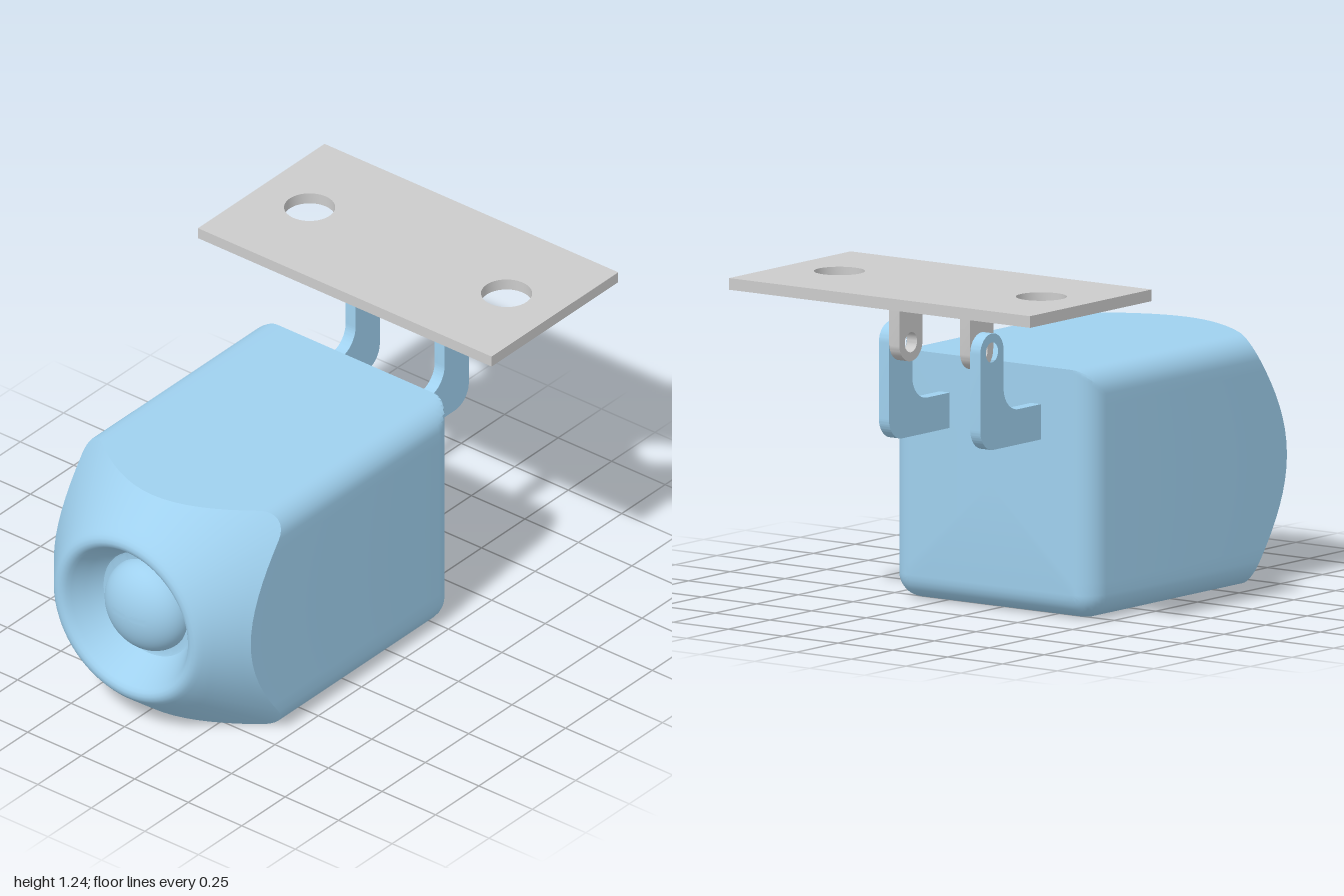
import * as THREE from 'three';
import { toCreasedNormals } from 'three/addons/utils/BufferGeometryUtils.js';

const blue = new THREE.MeshStandardMaterial({ color: 0x9fd0ee });
const grey = new THREE.MeshStandardMaterial({ color: 0xcccccc });

const W = 0.46, R = 0.09, BACK = -0.335, CY = 0.46;

function addMesh(parent, name, geometry, material) {
  const mesh = new THREE.Mesh(toCreasedNormals(geometry, 0.5), material);
  mesh.name = name;
  parent.add(mesh);
  return mesh;
}

// Rounded square outline, counter-clockwise, with outward normals
function outline() {
  const pts = [], sides = 16, arc = 8, c = W - R;
  for (let k = 0; k < 4; k++) {
    const start = -Math.PI / 2 + (k * Math.PI) / 2;
    const cx = k < 2 ? c : -c, cy = k === 1 || k === 2 ? c : -c;
    for (let i = 0; i <= arc; i++) {
      const a = start + (i / arc) * (Math.PI / 2);
      const nx = Math.cos(a), ny = Math.sin(a);
      pts.push({ x: cx + R * nx, y: cy + R * ny, nx, ny });
    }
    const p = pts[pts.length - 1];
    for (let i = 1; i < sides; i++) {
      const t = (2 * c * i) / sides;
      pts.push({ x: p.x - p.ny * t, y: p.y + p.nx * t, nx: p.nx, ny: p.ny });
    }
  }
  return pts;
}

// Skin over a list of closed rings
function loft(rings) {
  const n = rings[0].length, index = [];
  for (let i = 0; i < rings.length - 1; i++) {
    for (let j = 0; j < n; j++) {
      const a = i * n + j, b = i * n + ((j + 1) % n);
      index.push(a, b, b + n, a, b + n, a + n);
    }
  }
  const g = new THREE.BufferGeometry();
  g.setAttribute('position', new THREE.Float32BufferAttribute(rings.flat(2), 3));
  g.setIndex(index);
  g.computeVertexNormals();
  return g;
}

function bodyGeometry() {
  const pts = outline();
  const rings = [pts.map(() => [0, CY, BACK])];
  // back fillet on sides and bottom; the top back edge stays sharp
  for (let i = 0; i <= 7; i++) {
    const a = (i / 7) * (Math.PI / 2);
    const d = R * (1 - Math.sin(a)), z = BACK + R * (1 - Math.cos(a));
    rings.push(pts.map((p) => p.y > W - R + 1e-6
      ? [THREE.MathUtils.clamp(p.x, d - W, W - d), p.y + CY, z]
      : [p.x - p.nx * d, p.y - p.ny * d + CY, z]));
  }
  // conical nose cutting the square body
  const cone = (r) => 0.84 + 1.24 * (W - r);
  for (let i = 0; i <= 5; i++) {
    rings.push(pts.map((p) => {
      const len = Math.hypot(p.x, p.y), r = THREE.MathUtils.lerp(len, 0.35, i / 5);
      return [(p.x / len) * r, (p.y / len) * r + CY, cone(r)];
    }));
  }
  // rounded rim, sloping recess and its floor
  const profile = [
    [0.338, 0.988], [0.326, 0.997], [0.31, 1], [0.296, 0.996], [0.284, 0.985], [0.275, 0.97],
    [0.245, 0.92], [0.215, 0.87], [0.209, 0.863], [0.2, 0.86], [0.17, 0.86], [0, 0.86],
  ];
  for (const [r, z] of profile) {
    rings.push(pts.map((p) => {
      const len = Math.hypot(p.x, p.y);
      return [(p.x / len) * r, (p.y / len) * r + CY, z];
    }));
  }
  return loft(rings);
}

// Extrude a (z, y) shape across x, centred on x = 0
function sidePlate(shape, thickness) {
  const g = new THREE.ExtrudeGeometry(shape, { depth: thickness, bevelEnabled: false, curveSegments: 16 });
  return g.rotateY(-Math.PI / 2).translate(thickness / 2, 0, 0);
}

function hole(x, y, r) {
  return new THREE.Path().absarc(x, y, r, 0, Math.PI * 2, true);
}

function armShape() {
  const s = new THREE.Shape();
  s.moveTo(-0.31, 0.65);
  s.lineTo(-0.62, 0.65);
  s.absarc(-0.62, 0.73, 0.08, -Math.PI / 2, -Math.PI, true);
  s.lineTo(-0.7, 1.01);
  s.absarc(-0.63, 1.01, 0.07, Math.PI, 0, true);
  s.lineTo(-0.56, 0.87);
  s.absarc(-0.47, 0.87, 0.09, Math.PI, Math.PI * 1.5, false);
  s.lineTo(-0.31, 0.78);
  s.closePath();
  s.holes.push(hole(-0.63, 1.01, 0.037));
  return s;
}

function tabShape() {
  const s = new THREE.Shape();
  s.moveTo(-0.56, 1.2);
  s.lineTo(-0.7, 1.2);
  s.lineTo(-0.7, 1.01);
  s.absarc(-0.63, 1.01, 0.07, Math.PI, Math.PI * 2, false);
  s.closePath();
  s.holes.push(hole(-0.63, 1.01, 0.037));
  return s;
}

function mountPlateGeometry() {
  const s = new THREE.Shape();
  s.moveTo(-0.686, 0.27);
  s.lineTo(0.686, 0.27);
  s.lineTo(0.686, 1);
  s.lineTo(-0.686, 1);
  s.closePath();
  for (const side of [-1, 1]) s.holes.push(hole(side * 0.46, 0.635, 0.093));
  const g = new THREE.ExtrudeGeometry(s, { depth: 0.043, bevelEnabled: false, curveSegments: 24 });
  return g.rotateX(-Math.PI / 2).translate(0, 1.197, 0);
}

export function createModel() {
  const model = new THREE.Group();
  model.name = 'hangingCamera';

  addMesh(model, 'housing', bodyGeometry(), blue);

  // lens dome sitting in the recess
  const dome = new THREE.SphereGeometry(0.18, 48, 16, 0, Math.PI * 2, 0, Math.PI / 2);
  dome.rotateX(Math.PI / 2).scale(1, 1, 0.7);
  addMesh(model, 'lensDome', dome, blue).position.set(0, CY, 0.86);

  // hinge: body arms outside, plate tabs inside
  for (const side of [1, -1]) {
    const label = side > 0 ? 'left' : 'right';
    addMesh(model, label + 'HingeArm', sidePlate(armShape(), 0.046), blue).position.x = side * 0.208;
    addMesh(model, label + 'PlateTab', sidePlate(tabShape(), 0.046), grey).position.x = side * 0.161;
  }

  addMesh(model, 'mountingPlate', mountPlateGeometry(), grey);
  return model;
}
